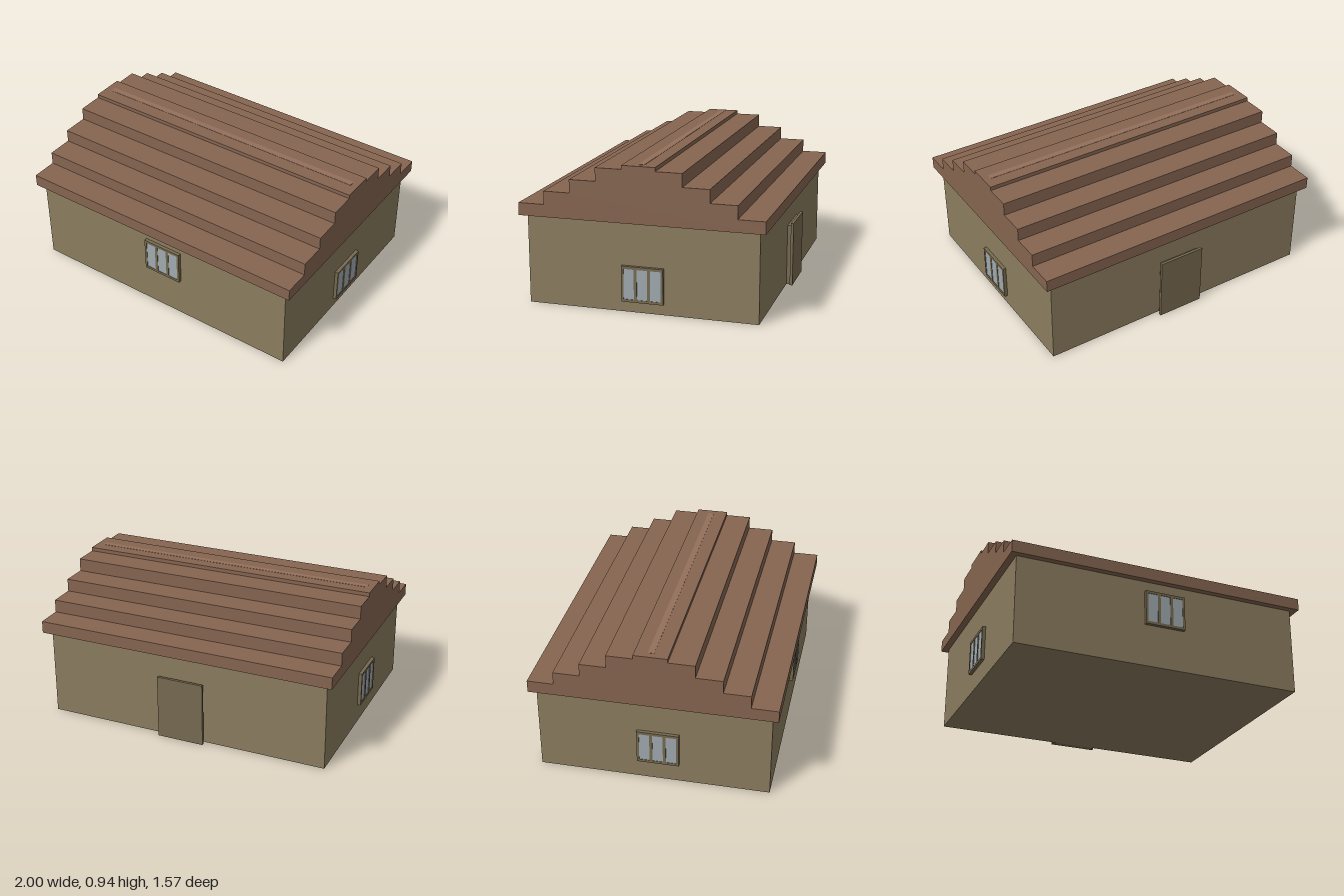
import * as THREE from 'three';

const mat = (color) => new THREE.MeshStandardMaterial({ color });
const wallMat = mat(0x8b7c5f);
const roofMat = mat(0x866550);
const ridgeMat = mat(0x93705c);
const frameMat = mat(0x776a50);
const doorMat = mat(0x776a50);
const glassMat = mat(0x9faab0);

// Box given by its minimum and maximum corners
function box(name, material, min, max) {
  const size = max.map((v, i) => v - min[i]);
  const mesh = new THREE.Mesh(new THREE.BoxGeometry(...size), material);
  mesh.position.set(...min.map((v, i) => v + size[i] / 2));
  mesh.name = name;
  return mesh;
}

function rectangle(target, x0, y0, x1, y1) {
  target.moveTo(x0, y0);
  target.lineTo(x1, y0);
  target.lineTo(x1, y1);
  target.lineTo(x0, y1);
  target.closePath();
  return target;
}

// Three-pane window facing +z, its back at z = 0
function createWindow(name) {
  const w = 0.27, h = 0.23, depth = 0.022, pane = 0.067, step = 0.086, paneH = 0.195;
  const group = new THREE.Group();
  group.name = name;
  const shape = rectangle(new THREE.Shape(), -w / 2, -h / 2, w / 2, h / 2);
  for (let i = -1; i <= 1; i++) {
    const x = i * step;
    shape.holes.push(rectangle(new THREE.Path(), x - pane / 2, -paneH / 2, x + pane / 2, paneH / 2));
    group.add(box('windowPane', glassMat, [x - pane / 2, -paneH / 2, 0], [x + pane / 2, paneH / 2, depth - 0.003]));
  }
  const frame = new THREE.Mesh(new THREE.ExtrudeGeometry(shape, { depth, bevelEnabled: false }), frameMat);
  frame.name = 'windowFrame';
  group.add(frame);
  return group;
}

// Stepped roof: one solid profile in z and y, extruded along x
function createRoof() {
  const steps = [[0.785, 0.66], [0.615, 0.745], [0.445, 0.83], [0.275, 0.915], [0.107, 0.94]];
  const half = [];
  let y = 0.58;
  for (const [z, top] of steps) {
    half.push([z, y], [z, top]);
    y = top;
  }
  const outline = [...half, ...half.map(([z, h]) => [-z, h]).reverse()];
  const shape = new THREE.Shape(outline.map(([z, h]) => new THREE.Vector2(z, h)));
  const geometry = new THREE.ExtrudeGeometry(shape, { depth: 2, bevelEnabled: false });
  geometry.translate(0, 0, -1).rotateY(Math.PI / 2);
  const roof = new THREE.Mesh(geometry, roofMat);
  roof.name = 'steppedRoof';
  return roof;
}

export function createModel() {
  const house = new THREE.Group();
  house.name = 'house';

  house.add(box('walls', wallMat, [-0.957, 0, -0.742], [0.952, 0.58, 0.745]));
  house.add(createRoof());
  house.add(box('ridgeStrip', ridgeMat, [-0.955, 0.935, -0.025], [0.955, 0.9415, 0.015]));

  // Windows on the front and both ends
  const placements = [
    ['frontWindow', 0.03, 0.395, 0.745, 0],
    ['leftWindow', 0.952, 0.185, -0.008, Math.PI / 2],
    ['rightWindow', -0.957, 0.245, 0.032, -Math.PI / 2],
  ];
  for (const [name, x, y, z, turn] of placements) {
    const unit = createWindow(name);
    unit.position.set(x, y, z);
    unit.rotation.y = turn;
    house.add(unit);
  }

  // Back door: a slab over a slightly smaller jamb
  const door = new THREE.Group();
  door.name = 'backDoor';
  door.add(box('doorJamb', frameMat, [-0.13, 0, -0.767], [0.15, 0.405, -0.742]));
  door.add(box('doorSlab', doorMat, [-0.147, 0, -0.785], [0.167, 0.425, -0.767]));
  house.add(door);

  return house;
}
